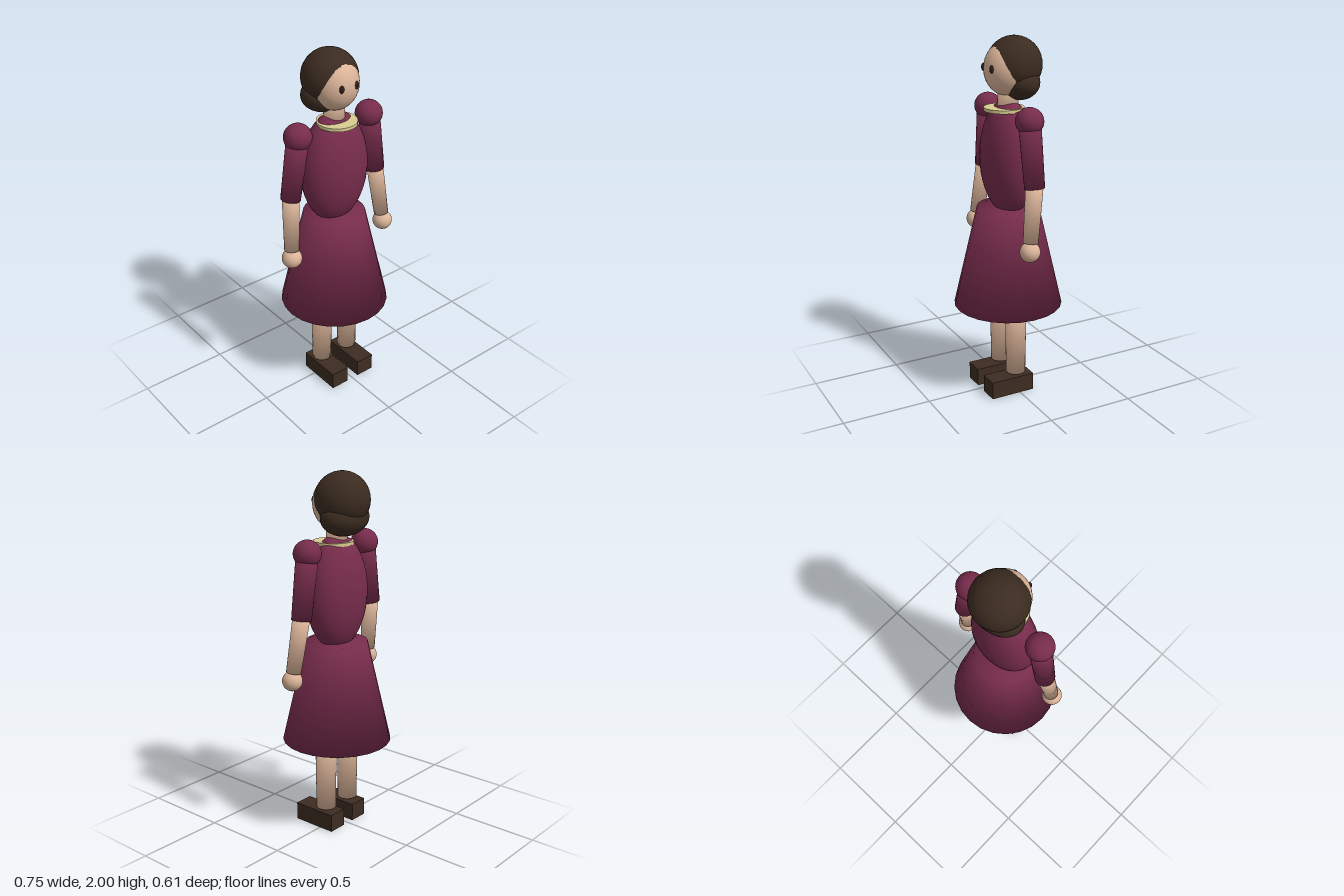
import * as THREE from 'three';

const mat = (name, color) => {
  const m = new THREE.MeshStandardMaterial({ color });
  m.name = name;
  return m;
};

// Closed frustum whose rim normals blend the wall with the caps, for soft edges
function softFrustum(rBottom, rTop, height, sides = 24) {
  const h = height / 2;
  const profile = [[0, -h], [rBottom, -h], [rTop, h], [0, h]].map(([x, y]) => new THREE.Vector2(x, y));
  const geo = new THREE.LatheGeometry(profile, sides);
  const wall = new THREE.Vector2(height, rBottom - rTop).normalize();
  const down = new THREE.Vector2(0, -1), up = new THREE.Vector2(0, 1);
  const rules = [down, wall.clone().add(down).normalize(), wall.clone().add(up).normalize(), up];
  for (let i = 0; i <= sides; i++) {
    const a = (i / sides) * Math.PI * 2;
    rules.forEach((n, j) => geo.attributes.normal.setXYZ(i * 4 + j, n.x * Math.sin(a), n.y, n.x * Math.cos(a)));
  }
  return geo;
}

export function createModel() {
  const model = new THREE.Group();
  model.name = 'doll';

  const dress = mat('plum cloth', 0x772c4c);
  const skin = mat('skin', 0xdcb59a);
  const hair = mat('dark brown hair', 0x3b2b20);
  const shoe = mat('brown leather', 0x3d2c22);
  const trim = mat('pale gold trim', 0xd8cc90);
  const eye = mat('eye brown', 0x2c1d17);

  const add = (name, geo, material, x, y, z) => {
    const mesh = new THREE.Mesh(geo, material);
    mesh.name = name;
    mesh.position.set(x, y, z);
    model.add(mesh);
    return mesh;
  };
  const ball = (name, material, [x, y, z], [rx, ry, rz]) =>
    add(name, new THREE.SphereGeometry(1, 32, 20).scale(rx, ry, rz), material, x, y, z);
  // Tapered limb running from a lower point to an upper point
  const limb = (name, material, low, high, rLow, rHigh) => {
    const a = new THREE.Vector3(...low), b = new THREE.Vector3(...high);
    const dir = b.clone().sub(a);
    const mid = a.clone().add(b).multiplyScalar(0.5);
    const mesh = add(name, softFrustum(rLow, rHigh, dir.length()), material, mid.x, mid.y, mid.z);
    mesh.quaternion.setFromUnitVectors(new THREE.Vector3(0, 1, 0), dir.normalize());
    return mesh;
  };

  // Head, hair and neck
  ball('head', skin, [0, 1.83, 0], [0.13, 0.145, 0.13]);
  ball('hairCap', hair, [0, 1.85, -0.037], [0.15, 0.15, 0.15]);
  ball('hairRoll', hair, [0, 1.76, -0.055], [0.155, 0.1, 0.11]);
  limb('neck', skin, [0, 1.58, 0], [0, 1.74, 0], 0.058, 0.055);

  // Dress
  ball('bodice', dress, [0, 1.35, 0], [0.2, 0.317, 0.141]);
  limb('skirt', dress, [0, 0.51, 0], [0, 1.08, 0], 0.303, 0.17);
  add('collar', new THREE.CylinderGeometry(0.109, 0.109, 0.018, 32), trim, 0, 1.62, 0.023);

  // Paired parts
  for (const [side, s] of [['left', 1], ['right', -1]]) {
    ball(side + 'Eye', eye, [s * 0.047, 1.84, 0.12], [0.013, 0.021, 0.011]);
    ball(side + 'PuffSleeve', dress, [s * 0.235, 1.593, 0], [0.075, 0.073, 0.075]);
    limb(side + 'Sleeve', dress, [s * 0.288, 1.25, -0.003], [s * 0.235, 1.59, 0], 0.054, 0.06);
    limb(side + 'Forearm', skin, [s * 0.314, 0.965, 0.033], [s * 0.287, 1.27, -0.003], 0.041, 0.047);
    ball(side + 'Hand', skin, [s * 0.319, 0.917, 0.039], [0.055, 0.055, 0.055]);
    limb(side + 'Leg', skin, [s * 0.093, 0.115, 0], [s * 0.093, 0.54, 0], 0.055, 0.06);
    add(side + 'Shoe', new THREE.BoxGeometry(0.11, 0.1, 0.26), shoe, s * 0.093, 0.05, 0.045);
  }
  return model;
}
